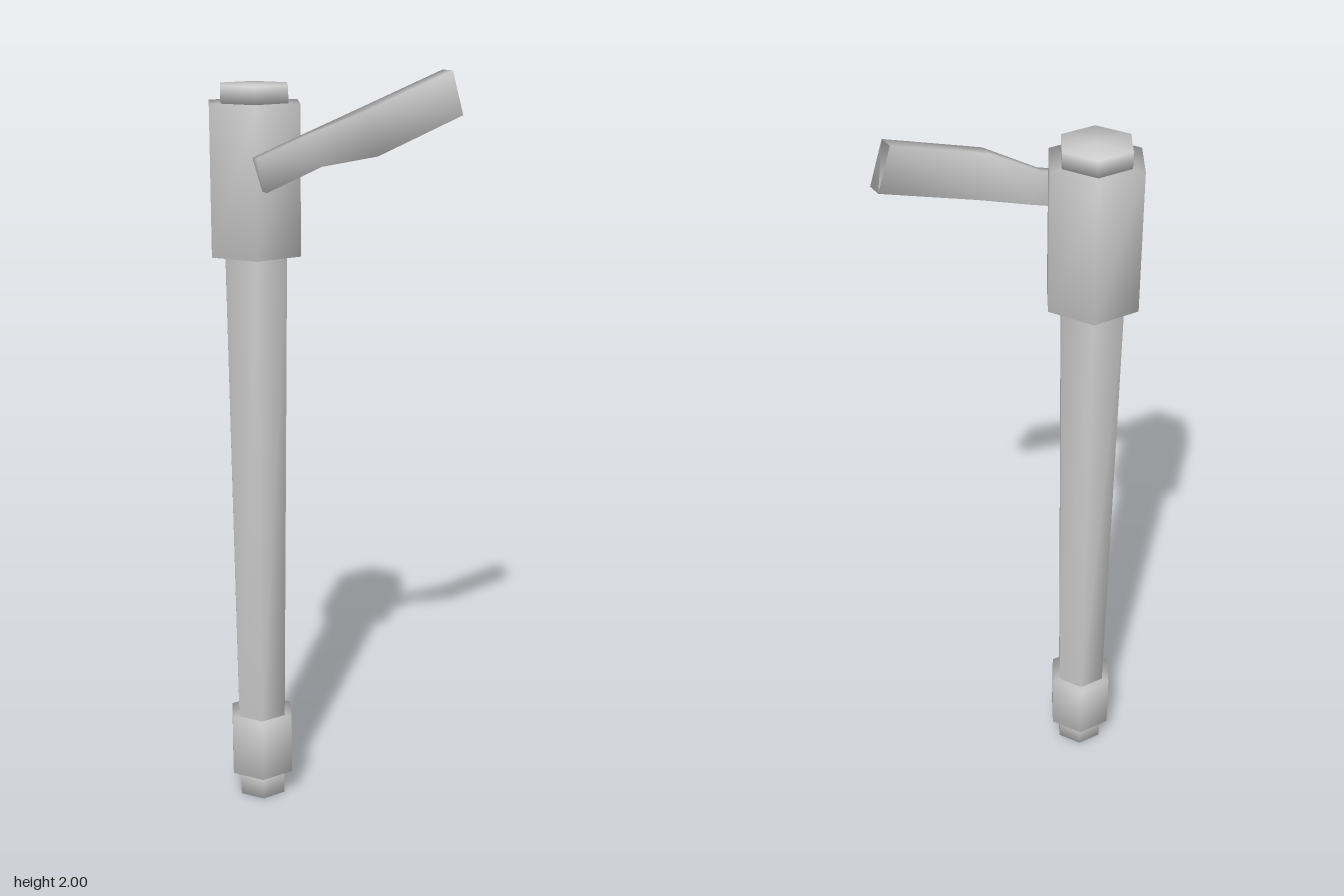
import * as THREE from 'three';
import { mergeVertices } from 'three/addons/utils/BufferGeometryUtils.js';

const material = new THREE.MeshStandardMaterial({ color: 0xcccccc });
const openMaterial = new THREE.MeshStandardMaterial({ color: 0xcccccc, side: THREE.DoubleSide });

// Hexagonal prism with normals blended over all its edges
function hexPart(name, y0, y1, r0, r1 = r0) {
  let geo = new THREE.CylinderGeometry(r1, r0, y1 - y0, 6, 1, false, Math.PI / 2);
  geo.deleteAttribute('normal');
  geo.deleteAttribute('uv');
  geo = mergeVertices(geo);
  geo.computeVertexNormals();
  const mesh = new THREE.Mesh(geo, material);
  mesh.name = name;
  mesh.position.y = (y0 + y1) / 2;
  return mesh;
}

// Cranked lever: rectangular sections along a bar, with a half-open outer end
function leverGeometry() {
  // distance along the bar, height, back z, front z
  const sections = [
    [0, 0.09, 0.077, 0.1],
    [0.17, 0.09, 0.077, 0.1],
    [0.295, 0.12, 0.125, 0.168],
    [0.578, 0.12, 0.125, 0.168],
  ];
  const pos = [], idx = [];
  for (const [s, h, back, front] of sections) {
    pos.push(s, h / 2, front, s, -h / 2, front, s, -h / 2, back, s, h / 2, back);
  }
  for (let i = 0; i < sections.length - 1; i++) {
    for (let j = 0; j < 4; j++) {
      const a = i * 4 + j, b = i * 4 + (j + 1) % 4;
      idx.push(a, b, b + 4, a, b + 4, a + 4);
    }
  }
  idx.push(0, 3, 2, 0, 2, 1); // closed inner end
  idx.push(12, 13, 14);       // half of the outer end
  const geo = new THREE.BufferGeometry();
  geo.setAttribute('position', new THREE.Float32BufferAttribute(pos, 3));
  geo.setIndex(idx);
  geo.computeVertexNormals();
  return geo;
}

export function createModel() {
  const model = new THREE.Group();
  model.name = 'leverPost';

  // Post
  const post = new THREE.Group();
  post.name = 'post';
  post.position.set(-0.183, 0, -0.057);
  post.add(
    hexPart('foot', 0, 0.075, 0.07),
    hexPart('collar', 0.072, 0.242, 0.095),
    hexPart('shaft', 0.24, 1.547, 0.073, 0.091),
    hexPart('head', 1.545, 1.928, 0.131),
    hexPart('cap', 1.926, 1.972, 0.0975),
  );
  model.add(post);

  // Lever in front of the head, rising to the left
  const lever = new THREE.Mesh(leverGeometry(), openMaterial);
  lever.name = 'lever';
  lever.position.set(-0.2575, 1.765, 0);
  lever.rotation.z = Math.atan2(0.178, 0.55);
  model.add(lever);

  return model;
}
